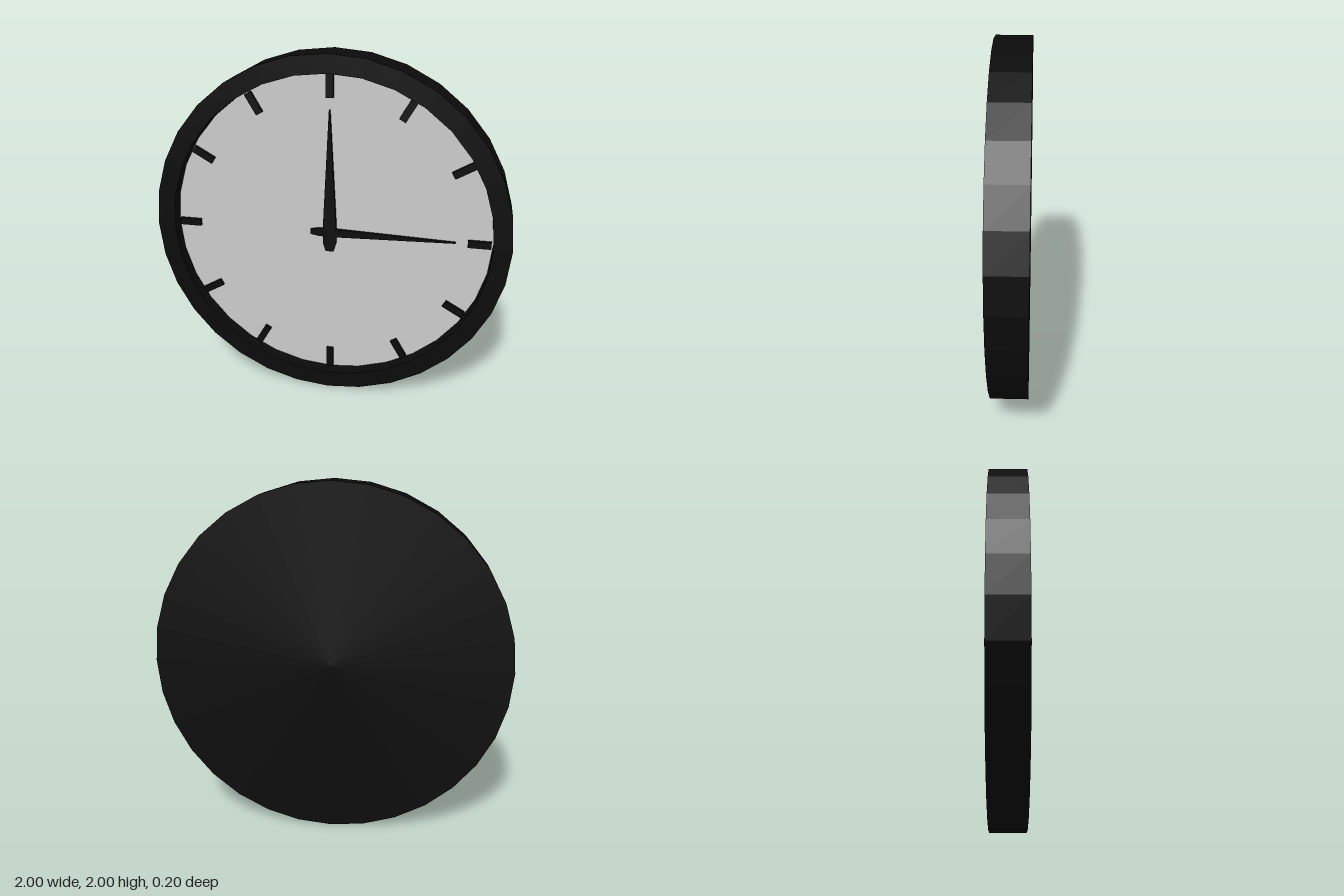
import * as THREE from 'three';

const SIDES = 32;
const FACE_Z = 0.025;

export function createModel() {
  const model = new THREE.Group();
  const black = new THREE.MeshStandardMaterial({ color: 0x0b0b0b, flatShading: true });
  const grey = new THREE.MeshStandardMaterial({ color: 0xcccccc, flatShading: true });

  const add = (name, geometry, material, parent = model) => {
    const mesh = new THREE.Mesh(geometry, material);
    mesh.name = name;
    parent.add(mesh);
    return mesh;
  };

  // Case: closed back, outer wall, front rim and recess wall
  const profile = [[0, -0.1], [1, -0.1], [1, 0.1], [0.9, 0.1], [0.9, FACE_Z - 0.01]]
    .map(([r, y]) => new THREE.Vector2(r, y));
  const caseGeometry = new THREE.LatheGeometry(profile, SIDES);
  caseGeometry.rotateX(Math.PI / 2);
  add('case', caseGeometry, black);

  // Dial set back inside the rim
  add('dial', new THREE.CircleGeometry(0.9, SIDES), grey).position.z = FACE_Z;

  // Twelve hour marks
  const marks = new THREE.Group();
  marks.name = 'hourMarks';
  model.add(marks);
  for (let i = 0; i < 12; i++) {
    const mark = new THREE.BoxGeometry(0.04, 0.125, 0.03);
    mark.translate(0, 0.8275, FACE_Z + 0.005);
    mark.rotateZ(-i * Math.PI / 6);
    add('hourMark', mark, black, marks);
  }

  // Tapered hands with a short tail past the pivot
  const addHand = (name, halfWidth, front, angle) => {
    const shape = new THREE.Shape([
      [-0.6 * halfWidth, -0.11], [0.6 * halfWidth, -0.11], [halfWidth, -0.06],
      [halfWidth, 0.04], [0.002, 0.7], [-0.002, 0.7],
      [-halfWidth, 0.04], [-halfWidth, -0.06],
    ].map(([x, y]) => new THREE.Vector2(x, y)));
    const depth = front - FACE_Z + 0.005;
    const geometry = new THREE.ExtrudeGeometry(shape, { depth, bevelEnabled: false });
    geometry.translate(0, 0, FACE_Z - 0.005);
    geometry.rotateZ(angle);
    add(name, geometry, black);
  };
  addHand('minuteHand', 0.037, 0.05, 0);
  addHand('hourHand', 0.023, 0.044, -Math.PI / 2);

  // Stand the clock on the ground
  model.children.forEach((part) => { part.position.y += 1; });
  return model;
}
